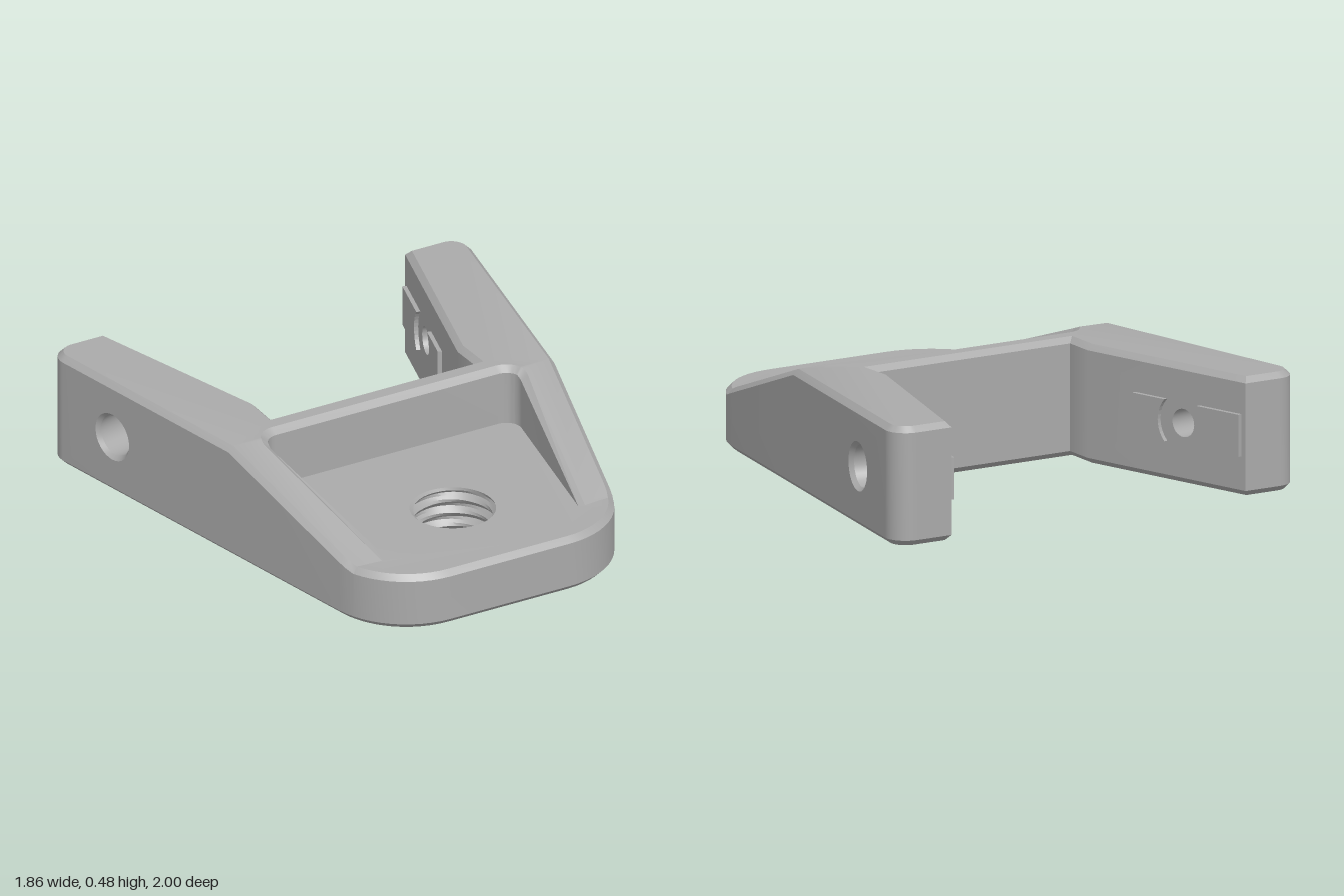
import * as THREE from 'three';
import { toCreasedNormals } from 'three/addons/utils/BufferGeometryUtils.js';

const V = (x, y, z) => new THREE.Vector3(x, y, z);
const C = 0.023;                 // edge chamfer
const Z0 = 0.07, Z1 = 0.79;      // start and end of the sloping shoulders
const FLOOR = 0.235, HIGH = 0.48;
const top = z => HIGH - (HIGH - FLOOR) * THREE.MathUtils.clamp((z - Z0) / (Z1 - Z0), 0, 1);
const outerX = z => 0.739 - 0.194 * (z - Z0);    // outside face of a leg
const innerX = z => 0.457 - 0.2825 * (z + 0.2);  // inside face of a leg

// Plan path [x, z] with rounded corners [x, z, radius], split where it crosses Z0 and Z1
function planPath(corners, closed) {
  const n = corners.length, pts = [];
  corners.forEach(([x, z, r], i) => {
    const p = new THREE.Vector2(x, z);
    if (!r) { pts.push(p); return; }
    const dir = j => new THREE.Vector2(...corners[(j + n) % n].slice(0, 2)).sub(p).normalize();
    const a = dir(i - 1), b = dir(i + 1);
    const half = Math.acos(a.dot(b)) / 2;
    const mid = a.clone().add(b).normalize().multiplyScalar(r / Math.sin(half)).add(p);
    const start = p.clone().addScaledVector(a, r / Math.tan(half)).sub(mid);
    const sign = Math.sign(a.cross(b)) * -1, sweep = Math.PI - 2 * half;
    for (let k = 0; k <= 12; k++)
      pts.push(start.clone().rotateAround(new THREE.Vector2(), sign * sweep * k / 12).add(mid));
  });
  const out = [];
  pts.forEach((p, i) => {
    out.push(p);
    if (!closed && i === pts.length - 1) return;
    const q = pts[(i + 1) % pts.length];
    [Z0, Z1].map(z => (z - p.y) / (q.y - p.y)).filter(t => t > 1e-4 && t < 1 - 1e-4)
      .sort((s, t) => s - t).forEach(t => out.push(p.clone().lerp(q, t)));
  });
  return out;
}

// Mitred offset to the left of travel (seen from above)
function offset(path, d, closed) {
  const n = path.length;
  const normal = i => {
    const j = closed ? (i + n) % n : THREE.MathUtils.clamp(i, 0, n - 2);
    const e = path[(j + 1) % n].clone().sub(path[j]).normalize();
    return new THREE.Vector2(e.y, -e.x);
  };
  return path.map((p, i) => {
    const a = normal(i - 1), b = normal(i);
    return p.clone().addScaledVector(a.clone().add(b), d / (1 + a.dot(b)));
  });
}

// Collects triangles from lofts between rings and from flat faces with holes
class Surface {
  constructor() { this.pos = []; }
  tri(a, b, c) {
    if (b.clone().sub(a).cross(c.clone().sub(a)).length() < 1e-8) return;
    for (const p of [a, b, c]) this.pos.push(p.x, p.y, p.z);
  }
  loft(A, B, { closed = true, flip = false, skip = () => false } = {}) {
    const n = A.length;
    for (let i = 0; i < (closed ? n : n - 1); i++) {
      const j = (i + 1) % n;
      if (skip(i)) continue;
      if (flip) { this.tri(A[i], B[j], B[i]); this.tri(A[i], A[j], B[j]); }
      else { this.tri(A[i], B[i], B[j]); this.tri(A[i], B[j], A[j]); }
    }
  }
  face(contour, holes, flat, normal) {
    const all = [contour, ...holes].flat();
    const tris = THREE.ShapeUtils.triangulateShape(contour.map(flat), holes.map(h => h.map(flat)));
    for (const [i, j, k] of tris) {
      const [a, b, c] = [all[i], all[j], all[k]];
      const up = b.clone().sub(a).cross(c.clone().sub(a)).dot(normal) > 0;
      if (up) this.tri(a, b, c); else this.tri(a, c, b);
    }
  }
  mesh(name, material) {
    const g = new THREE.BufferGeometry();
    g.setAttribute('position', new THREE.Float32BufferAttribute(this.pos, 3));
    const m = new THREE.Mesh(toCreasedNormals(g, 0.4), material);
    m.name = name;
    return m;
  }
}

export function createModel() {
  const group = new THREE.Group();
  group.name = 'forkedBracket';
  const grey = new THREE.MeshStandardMaterial({ color: 0xaaaaaa });
  grey.name = 'grey';
  const flatXZ = p => new THREE.Vector2(p.x, p.z), flatZY = p => new THREE.Vector2(p.z, p.y);
  const UP = V(0, 1, 0), DOWN = V(0, -1, 0);

  // Fork-shaped outline and its chamfered inset
  const half = [[0.46, -0.067, 0], [innerX(-0.2), -0.2, 0], [innerX(-1), -1, 0],
    [outerX(-1), -1, 0.085], [outerX(1), 1, 0.35]];
  const P = planPath([...half, ...half.map(([x, z, r]) => [-x, z, r]).reverse()], true);
  const Q = offset(P, -C, true);
  const bottomQ = Q.map(q => V(q.x, 0, q.y));
  const lowP = P.map(p => V(p.x, C, p.y));
  const highP = P.map(p => V(p.x, top(p.y) - C, p.y));
  const topQ = Q.map((q, i) => V(q.x, top(P[i].y), q.y));

  // Pocket rim, from right front round the back to left front
  const R = planPath([[0.46, Z1, 0], [0.614, 0.01, 0.09], [-0.614, 0.01, 0.09], [-0.46, Z1, 0]], false);
  const S = offset(R, 0.028, false);
  const rim = R.map(p => V(p.x, top(p.y), p.y));
  const lip = S.map((p, i) => V(p.x, Math.max(FLOOR, top(R[i].y) - C), p.y));
  const foot = S.map(p => V(p.x, FLOOR, p.y));

  // Threaded hole: rings whose radius follows a helix
  const SEG = 48, STEPS = 20, PITCH = 0.055;
  const threadRings = [];
  for (let k = 0; k <= STEPS; k++) {
    threadRings.push(Array.from({ length: SEG }, (_, i) => {
      const a = i / SEG * Math.PI * 2, y = FLOOR * k / STEPS;
      const f = (y / PITCH + i / SEG) % 1;
      const r = k === 0 || k === STEPS ? 0.17 : 0.154 + 0.024 * Math.abs(2 * f - 1);
      return V(r * Math.cos(a), y, 0.55 - r * Math.sin(a));
    }));
  }
  const thread = new Surface();
  for (let k = 0; k < STEPS; k++) thread.loft(threadRings[k], threadRings[k + 1]);

  // Stepped bores through the legs
  const bores = new Surface(), openings = {};
  const BORE_Y = 0.245, ZO = -0.61, ZI = -0.685;
  for (const s of [1, -1]) {
    const cOut = V(s * outerX(ZO), BORE_Y, ZO), cIn = V(s * innerX(ZI), BORE_Y, ZI);
    const uOut = V(-s * 0.194, 0, 1).normalize(), uIn = V(-s * 0.2825, 0, 1).normalize();
    const rings = [[0, 0.1], [0.06, 0.085], [0.5, 0.085], [0.5, 0.057], [1, 0.057]].map(([t, r]) => {
      const c = cOut.clone().lerp(cIn, t), u = uOut.clone().lerp(uIn, t);
      return Array.from({ length: 32 }, (_, i) => {
        const a = i / 32 * Math.PI * 2;
        return c.clone().addScaledVector(u, r * Math.cos(a)).addScaledVector(UP, r * Math.sin(a));
      });
    });
    for (let k = 0; k < 4; k++) bores.loft(rings[k], rings[k + 1], { flip: s < 0 });
    openings[s] = { outer: rings[0], inner: rings[4] };

    // Raised grip pads on the inside of the leg, notched round the bore
    const x = uIn.clone().multiplyScalar(s);
    const basis = new THREE.Matrix4().makeBasis(x, UP, x.clone().cross(UP)).setPosition(cIn);
    for (const [dir, end] of [[-1, 0.305], [1, 0.255]]) {
      const shape = new THREE.Shape(), h = 0.085, d = dir * s;
      shape.moveTo(d * end, -h);
      shape.lineTo(d * end, h);
      for (let k = 0; k <= 10; k++) {
        const v = h - 2 * h * k / 10;
        shape.lineTo(d * Math.sqrt(0.12 ** 2 - v * v), v);
      }
      const geo = new THREE.ExtrudeGeometry(shape, { depth: 0.02, bevelEnabled: false });
      const pad = new THREE.Mesh(geo.translate(0, 0, -0.003).applyMatrix4(basis), grey);
      pad.name = (s > 0 ? 'left' : 'right') + (dir > 0 ? 'FrontGripPad' : 'BackGripPad');
      group.add(pad);
    }
  }

  // Outer shell: chamfers, walls and the leg sides with bore openings
  const shell = new Surface();
  const isLegSide = i => Math.abs(P[(i + 1) % P.length].y - P[i].y) > 0.7;
  shell.loft(bottomQ, lowP);
  shell.loft(lowP, highP, { skip: isLegSide });
  shell.loft(highP, topQ);
  P.forEach((p, i) => {
    if (!isLegSide(i)) return;
    const j = (i + 1) % P.length, q = P[j];
    const side = openings[Math.sign(p.x)];
    const isOuter = Math.abs(p.x + q.x) / 2 > 0.7;
    shell.face([lowP[i], lowP[j], highP[j], highP[i]], [isOuter ? side.outer : side.inner],
      flatZY, V(q.y - p.y, 0, p.x - q.x));
  });
  shell.face(bottomQ, [threadRings[0]], flatXZ, DOWN);

  // Top faces: legs and cross wall, then the sloping shoulders
  const pick = (pts, plan, lo, hi, s) =>
    pts.filter((_, i) => plan[i].y > lo - 1e-5 && plan[i].y < hi + 1e-5 && plan[i].x * s >= 0);
  shell.face([...pick(topQ, P, -2, Z0, 1), ...pick(rim, R, -2, Z0, 0), ...pick(topQ, P, -2, Z0, -1)],
    [], flatXZ, UP);
  for (const s of [1, -1])
    shell.face([...pick(topQ, P, Z0, Z1, s), ...pick(rim, R, Z0, Z1, s)], [], flatXZ, UP);

  // Pocket: rim chamfer, walls, and the floor running out to the front
  const pocket = new Surface();
  pocket.loft(lip, rim, { closed: false });
  pocket.loft(foot, lip, { closed: false });
  pocket.face([...pick(topQ, P, Z1, 2, 0), rim[rim.length - 1], ...foot.slice().reverse(), rim[0]],
    [threadRings[STEPS]], flatXZ, UP);

  group.add(shell.mesh('bracketBody', grey), pocket.mesh('pocket', grey),
    thread.mesh('threadedHole', grey), bores.mesh('legBores', grey));
  return group;
}
